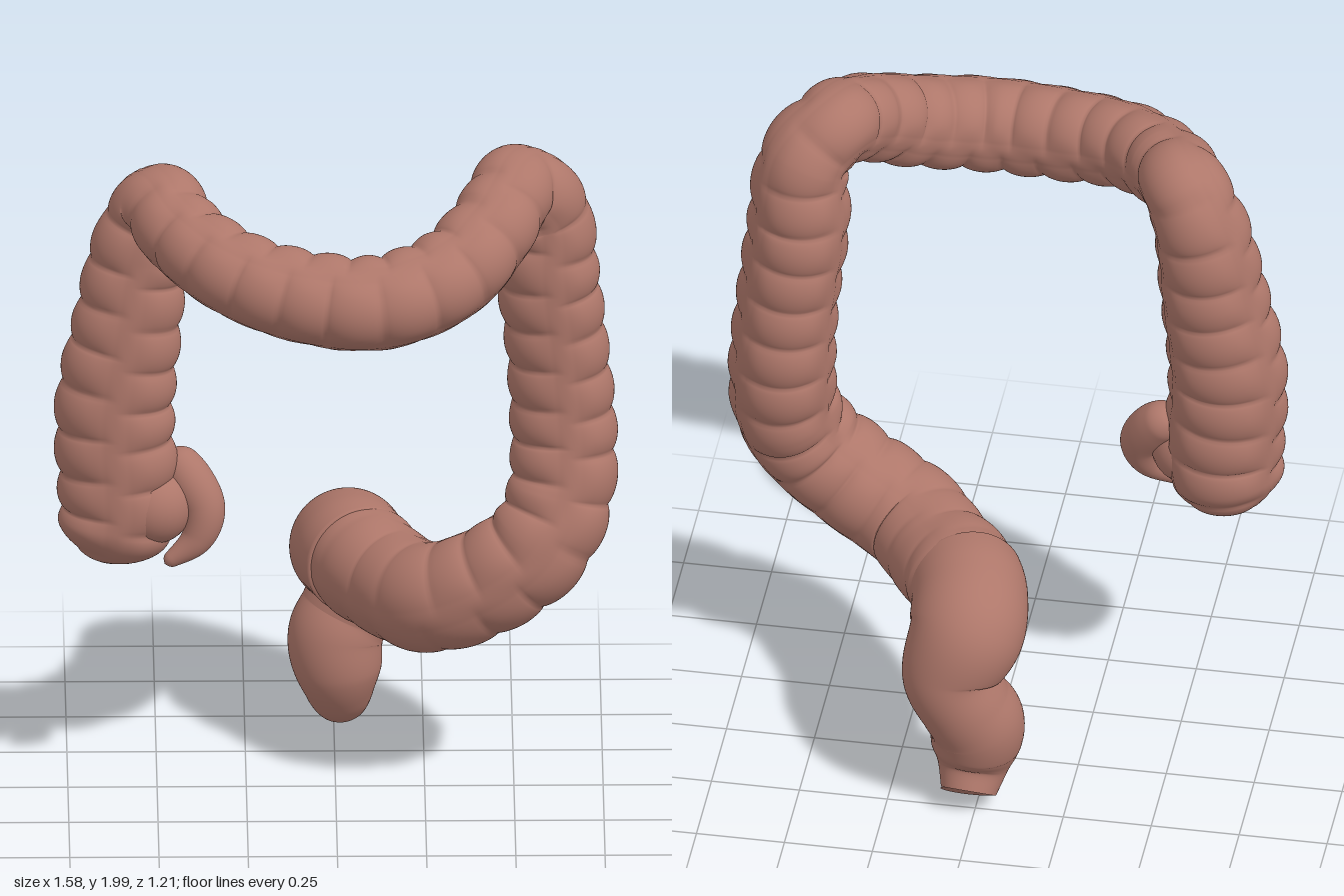
import * as THREE from 'three';

const SIDES = 72;
const flesh = new THREE.MeshStandardMaterial({ color: 0xae776a });
flesh.name = 'flesh';

// Tube swept along [x, y, z, radius, depth ratio] stations.
// pouch: depth of the bulges, roundStart / roundEnd: length of domed ends.
function organTube(name, stations, rings, { pouch = 0, roundStart = 0, roundEnd = 0 } = {}) {
  const path = new THREE.CatmullRomCurve3(stations.map(([x, y, z]) => new THREE.Vector3(x, y, z)), false, 'centripetal');
  path.arcLengthDivisions = 600;
  const sizes = new THREE.CatmullRomCurve3(stations.map(([, , , r, ratio = 1]) => new THREE.Vector3(r, ratio, 0)), false, 'catmullrom');
  const length = path.getLength();
  const pouches = Math.round(length / 0.125);
  const dome = (d, size) => (size && d < size ? Math.sqrt(Math.max(0, 1 - (1 - d / size) ** 2)) : 1);

  const positions = [], index = [];
  const normal = new THREE.Vector3(0, 0, 1), side = new THREE.Vector3(), offset = new THREE.Vector3();
  for (let i = 0; i <= rings; i++) {
    const u = i / rings;
    const t = path.getUtoTmapping(u);
    const centre = path.getPoint(t), tangent = path.getTangent(t), size = sizes.getPoint(t);
    normal.addScaledVector(tangent, -normal.dot(tangent)).normalize();
    side.crossVectors(tangent, normal);
    const base = size.x * dome(u * length, roundStart) * dome((1 - u) * length, roundEnd);
    // pouches grow shallower towards the far end
    const depth = pouch * (1 - 0.65 * THREE.MathUtils.smoothstep(u, 0.78, 0.95));
    for (let j = 0; j < SIDES; j++) {
      const a = (j / SIDES) * Math.PI * 2;
      // three raised lengthwise bands with rows of pouches between them
      const between = Math.abs(Math.sin(a * 1.5));
      const row = Math.floor((j * 3) / SIDES);
      const bulge = Math.abs(Math.sin(Math.PI * (u * pouches + row * 0.33))) ** 0.6;
      const band = between < 0.2 ? 0.2 : 0;
      const r = base * (1 + depth * ((bulge - 0.7) * Math.min(1, between * 1.4) + (between - 0.8) * 0.6 + band));
      offset.set(0, 0, 0).addScaledVector(normal, r * Math.cos(a)).addScaledVector(side, r * Math.sin(a));
      positions.push(centre.x + offset.x, centre.y + offset.y, centre.z + offset.z * size.y);
      if (i < rings) {
        const k = (j + 1) % SIDES, p0 = i * SIDES, p1 = p0 + SIDES;
        index.push(p0 + j, p0 + k, p1 + j, p0 + k, p1 + k, p1 + j);
      }
    }
  }
  const geometry = new THREE.BufferGeometry();
  geometry.setAttribute('position', new THREE.Float32BufferAttribute(positions, 3));
  geometry.setIndex(index);
  geometry.computeVertexNormals();
  const mesh = new THREE.Mesh(geometry, flesh);
  mesh.name = name;
  return mesh;
}

export function createModel() {
  const model = new THREE.Group();
  model.name = 'largeIntestine';

  // Pouched colon: up the right, across the front, down the left, S-bend to the back
  model.add(organTube('colon', [
    [-0.63, 0.73, 0.07, 0.15, 0.88],
    [-0.61, 0.90, 0.065, 0.165, 0.88],
    [-0.62, 1.20, 0.06, 0.165, 0.87],
    [-0.58, 1.48, 0.055, 0.15, 0.9],
    [-0.55, 1.68, 0.05, 0.135, 0.95],
    [-0.50, 1.81, 0.07, 0.12],
    [-0.43, 1.78, 0.21, 0.118],
    [-0.29, 1.73, 0.36, 0.122],
    [-0.10, 1.69, 0.44, 0.13],
    [0.12, 1.68, 0.465, 0.133],
    [0.32, 1.73, 0.38, 0.13],
    [0.44, 1.82, 0.25, 0.123],
    [0.51, 1.88, 0.11, 0.12],
    [0.58, 1.80, 0.05, 0.128],
    [0.592, 1.60, 0.03, 0.142],
    [0.62, 1.35, 0.015, 0.142],
    [0.637, 1.10, 0.015, 0.148],
    [0.63, 0.93, 0.045, 0.148],
    [0.57, 0.79, 0.085, 0.15],
    [0.43, 0.675, 0.08, 0.153],
    [0.27, 0.60, 0.03, 0.155],
    [0.16, 0.585, -0.11, 0.155],
    [0.08, 0.60, -0.23, 0.16],
    [0.05, 0.60, -0.33, 0.135],
  ], 560, { pouch: 0.13, roundStart: 0.13 }));

  // Smooth rectum bending down to the cut end
  model.add(organTube('rectum', [
    [0.08, 0.60, -0.21, 0.16],
    [0.05, 0.60, -0.30, 0.163],
    [0.04, 0.56, -0.41, 0.163],
    [0.075, 0.44, -0.46, 0.138],
    [0.035, 0.35, -0.467, 0.13],
    [0.005, 0.28, -0.45, 0.134],
    [0.01, 0.19, -0.438, 0.125],
    [0.015, 0.125, -0.452, 0.1],
    [0.02, 0.065, -0.497, 0.078],
  ], 100, { roundStart: 0.02 }));

  const endCap = new THREE.Mesh(new THREE.CircleGeometry(0.079, SIDES), flesh);
  endCap.name = 'rectumEnd';
  endCap.position.set(0.02, 0.065, -0.497);
  endCap.lookAt(0.02, 0.065 - 1, -0.497 - 0.95);
  model.add(endCap);

  // Side lobe of the blind pouch
  const lobe = new THREE.Mesh(new THREE.SphereGeometry(0.11, 32, 20), flesh);
  lobe.name = 'cecumLobe';
  lobe.position.set(-0.51, 0.91, 0.09);
  model.add(lobe);

  // Curved, tapering appendix
  model.add(organTube('appendix', [
    [-0.47, 1.05, 0.03, 0.05],
    [-0.41, 0.98, 0.07, 0.064],
    [-0.37, 0.90, 0.10, 0.06],
    [-0.39, 0.82, 0.12, 0.046],
    [-0.48, 0.75, 0.14, 0.018],
  ], 60, { roundStart: 0.05, roundEnd: 0.02 }));

  return model;
}
